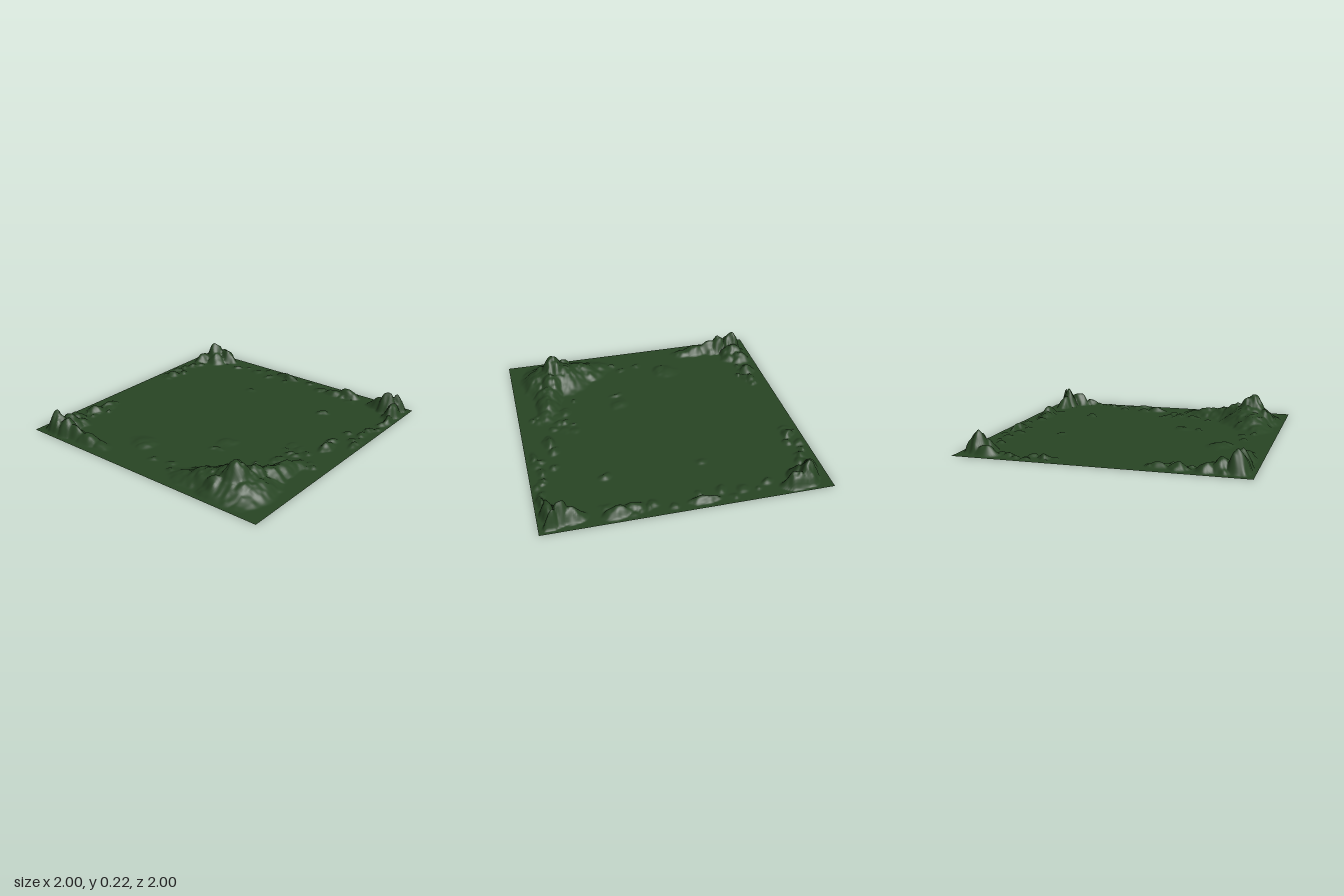
import * as THREE from 'three';

// Each hill: x, z, height, x radius, z radius
const frontRightMassif = [
  [0.66, 0.75, 0.21, 0.15, 0.17], [0.64, 0.74, 0.14, 0.30, 0.26],
  [0.70, 0.62, 0.13, 0.13, 0.18], [0.74, 0.50, 0.085, 0.12, 0.16],
  [0.76, 0.40, 0.07, 0.10, 0.20], [0.79, 0.27, 0.035, 0.07, 0.12],
  [0.48, 0.78, 0.10, 0.24, 0.17], [0.34, 0.83, 0.04, 0.18, 0.12],
  [0.78, 0.72, 0.09, 0.15, 0.26], [0.58, 0.84, 0.11, 0.14, 0.12],
];
const frontLeftRidge = [
  [-0.87, 0.89, 0.16, 0.10, 0.09], [-0.76, 0.89, 0.13, 0.10, 0.08],
  [-0.68, 0.89, 0.09, 0.12, 0.07], [-0.57, 0.89, 0.062, 0.14, 0.07],
  [-0.45, 0.88, 0.03, 0.11, 0.06], [-0.86, 0.79, 0.09, 0.11, 0.10],
  [-0.89, 0.70, 0.06, 0.09, 0.09], [-0.81, 0.72, 0.04, 0.08, 0.07],
  [-0.89, 0.52, 0.05, 0.07, 0.08], [-0.88, 0.39, 0.035, 0.06, 0.08],
];
const backLeftRidge = [
  [-0.85, -0.88, 0.145, 0.10, 0.09], [-0.76, -0.92, 0.10, 0.13, 0.06],
  [-0.91, -0.79, 0.07, 0.07, 0.10], [-0.90, -0.64, 0.025, 0.05, 0.06],
  [-0.90, -0.38, 0.035, 0.05, 0.06], [-0.80, -0.84, 0.08, 0.09, 0.08],
];
const backRightRidge = [
  [0.85, -0.88, 0.145, 0.09, 0.08], [0.78, -0.89, 0.09, 0.12, 0.07],
  [0.92, -0.82, 0.10, 0.06, 0.13], [0.95, -0.70, 0.05, 0.04, 0.09],
  [0.90, -0.92, 0.13, 0.07, 0.05], [0.48, -0.92, 0.065, 0.12, 0.06],
  [0.38, -0.89, 0.035, 0.10, 0.05], [-0.11, -0.93, 0.04, 0.13, 0.04],
];
const knolls = [
  [-0.24, 0.65, 0.02, 0.12, 0.10], [-0.20, 0.68, 0.022, 0.07, 0.08],
  [-0.02, 0.79, 0.015, 0.05, 0.04], [0.11, 0.75, 0.012, 0.04, 0.03],
  [0.18, 0.83, 0.02, 0.05, 0.04], [0.22, 0.29, 0.015, 0.08, 0.08],
  [0.22, 0.41, 0.014, 0.06, 0.03], [-0.20, -0.53, 0.012, 0.05, 0.04],
  [0.49, -0.54, 0.02, 0.05, 0.05], [0.81, -0.07, 0.04, 0.05, 0.09],
  [0.79, -0.18, 0.025, 0.05, 0.06], [0.94, -0.23, 0.022, 0.04, 0.08],
  [0.81, -0.36, 0.018, 0.04, 0.03], [0.55, 0.41, 0.014, 0.03, 0.03],
  [0.66, 0.15, 0.02, 0.04, 0.04], [0.88, 0.22, 0.018, 0.04, 0.04],
];

// Small seeded generator and smooth lattice noise for rocky relief
function seeded(seed) {
  return () => {
    seed = (seed * 16807) % 2147483647;
    return seed / 2147483647;
  };
}
function hash(i, j) {
  const s = Math.sin(i * 127.1 + j * 311.7) * 43758.5453;
  return s - Math.floor(s);
}
function noise(x, z) {
  const i = Math.floor(x), j = Math.floor(z);
  const u = THREE.MathUtils.smoothstep(x - i, 0, 1);
  const v = THREE.MathUtils.smoothstep(z - j, 0, 1);
  const { lerp } = THREE.MathUtils;
  return lerp(lerp(hash(i, j), hash(i + 1, j), u), lerp(hash(i, j + 1), hash(i + 1, j + 1), u), v) - 0.5;
}

// Scatter little mounds along a strip
function scatter(random, count, x0, x1, z0, z1) {
  return Array.from({ length: count }, () => {
    const r = 0.025 + random() * 0.025;
    return [x0 + random() * (x1 - x0), z0 + random() * (z1 - z0), 0.008 + random() * 0.014, r, r];
  });
}

function createTerrain(hills) {
  const geometry = new THREE.PlaneGeometry(2, 2, 220, 220);
  geometry.rotateX(-Math.PI / 2);
  const p = geometry.attributes.position;
  for (let i = 0; i < p.count; i++) {
    const x = p.getX(i), z = p.getZ(i);
    // Bent sampling gives the slopes gullies and crags
    const sx = x + 0.028 * noise(x * 22, z * 22);
    const sz = z + 0.028 * noise(x * 22 + 50, z * 22 + 90);
    let y = 0;
    for (const [cx, cz, h, rx, rz] of hills) {
      const d = ((sx - cx) / rx) ** 2 + ((sz - cz) / rz) ** 2;
      if (d < 1) y = Math.max(y, h * (1 - d) ** 1.6);
    }
    y *= 1 + 0.16 * noise(x * 40, z * 40);
    const edge = 1 - Math.max(Math.abs(x), Math.abs(z));
    p.setY(i, y * THREE.MathUtils.smoothstep(edge, 0, 0.05));
  }
  geometry.computeVertexNormals();
  return geometry;
}

export function createModel() {
  const group = new THREE.Group();
  group.name = 'landscape';
  const random = seeded(71);
  const hills = [
    ...frontRightMassif, ...frontLeftRidge, ...backLeftRidge, ...backRightRidge, ...knolls,
    ...scatter(random, 16, -0.96, -0.8, 0.2, 0.8),
    ...scatter(random, 12, -0.96, -0.85, -0.75, -0.3),
    ...scatter(random, 14, 0.6, 0.9, 0.0, 0.4),
    ...scatter(random, 8, 0.9, 0.97, -0.65, -0.1),
    ...scatter(random, 14, -0.6, 0.7, -0.95, -0.84),
  ];
  const material = new THREE.MeshStandardMaterial({ color: 0x284524, side: THREE.DoubleSide });
  const terrain = new THREE.Mesh(createTerrain(hills), material);
  terrain.name = 'terrain';
  group.add(terrain);
  return group;
}
